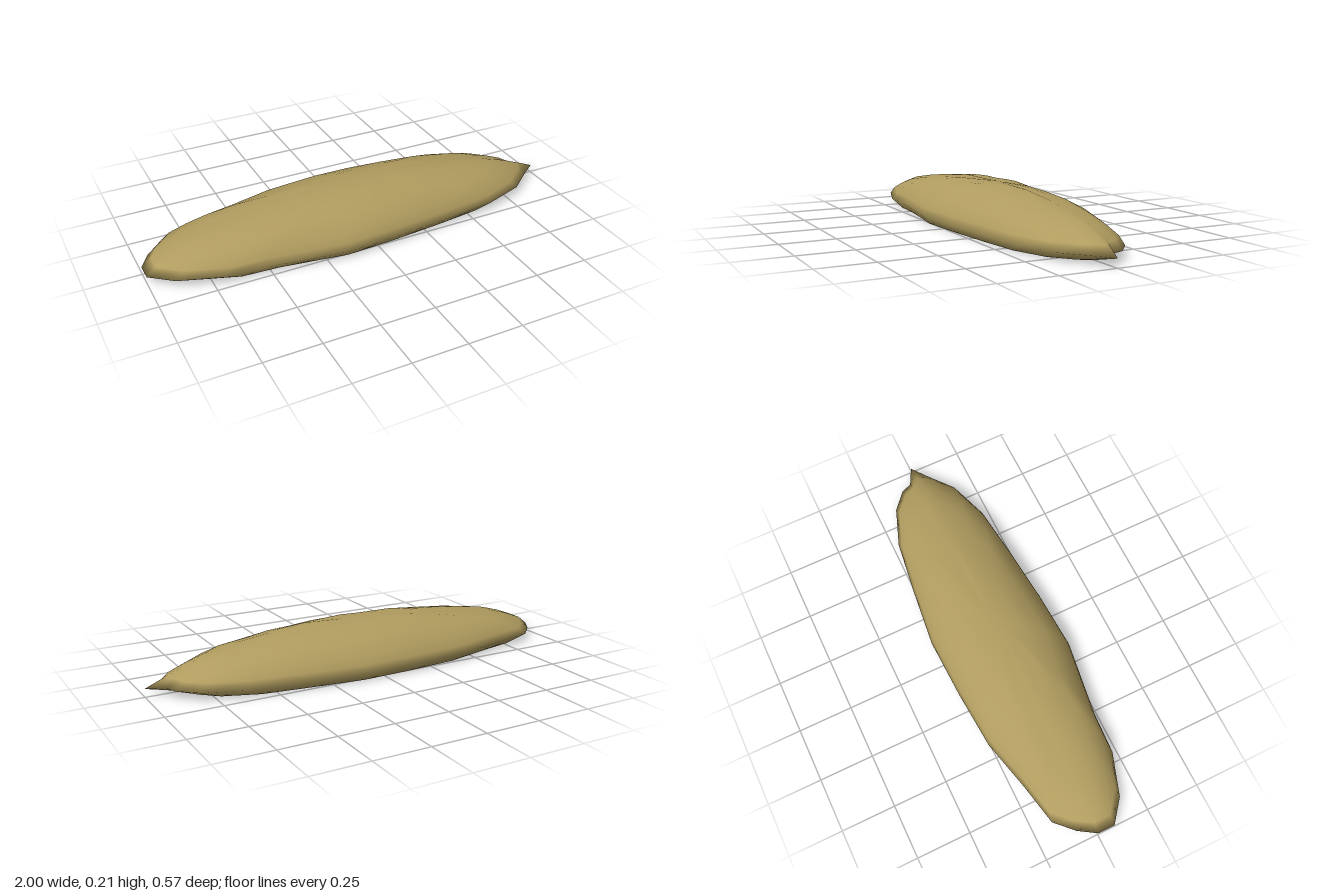
import * as THREE from 'three';

// Widest outline seen from above, [x, z], running from the pointed end round the back
const OUTLINE = [
  [1, 0], [0.92, -0.04], [0.9, -0.09], [0.82, -0.16], [0.64, -0.225], [0.38, -0.26],
  [0.11, -0.29], [-0.17, -0.28], [-0.44, -0.26], [-0.68, -0.2], [-0.87, -0.16],
  [-0.95, -0.08], [-1, 0], [-1, 0.08], [-0.9, 0.16], [-0.71, 0.225], [-0.52, 0.235],
  [-0.17, 0.285], [0.1, 0.27], [0.37, 0.245], [0.62, 0.215], [0.81, 0.15], [0.92, 0.06],
];

// Stacked rings: [height, scale in x, scale in z]
const RINGS = [
  [0, 0.88, 0.9], [0.037, 1, 1], [0.072, 0.955, 0.965], [0.105, 0.87, 0.88],
  [0.135, 0.77, 0.78], [0.16, 0.61, 0.66], [0.18, 0.46, 0.5], [0.197, 0.3, 0.34],
];

function moundGeometry() {
  const n = OUTLINE.length;
  const positions = [];
  const indices = [];
  RINGS.forEach(([y, sx, sz], k) => {
    OUTLINE.forEach(([x, z], i) => {
      // only the widest ring keeps the sharp tip
      const px = i === 0 && k !== 1 ? 0.96 : x;
      // faint folds in the upper rings
      const fold = k > 4 ? 0.003 * Math.sin(i * 2.1 + k) : 0;
      positions.push(px * sx, y + fold, z * sz);
    });
  });
  const bottom = n * RINGS.length;
  const top = bottom + 1;
  positions.push(0, 0, 0, 0.03, 0.206, 0);

  for (let i = 0; i < n; i++) {
    const j = (i + 1) % n;
    for (let k = 0; k < RINGS.length - 1; k++) {
      const a = k * n + i, b = k * n + j;
      indices.push(a, b, b + n, a, b + n, a + n);
    }
    const last = (RINGS.length - 1) * n;
    indices.push(bottom, j, i, top, last + i, last + j);
  }
  const geometry = new THREE.BufferGeometry();
  geometry.setAttribute('position', new THREE.Float32BufferAttribute(positions, 3));
  geometry.setIndex(indices);
  geometry.computeVertexNormals();
  return geometry;
}

export function createModel() {
  const group = new THREE.Group();
  group.name = 'mound';
  const sand = new THREE.MeshStandardMaterial({ color: 0xb09c5f });
  sand.name = 'sandy ochre';
  const body = new THREE.Mesh(moundGeometry(), sand);
  body.name = 'moundBody';
  group.add(body);
  return group;
}
